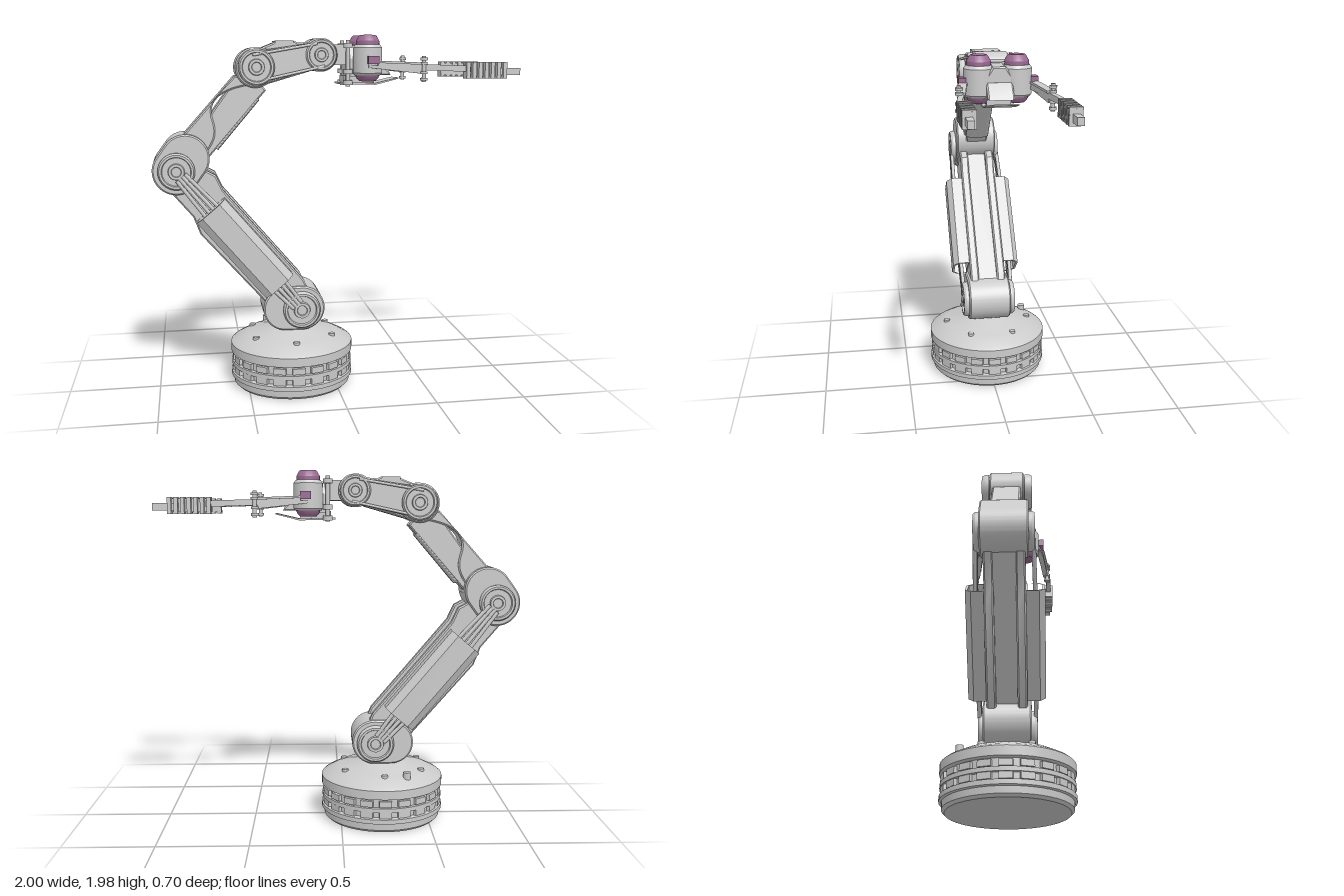
import * as THREE from 'three';
import { toCreasedNormals } from 'three/addons/utils/BufferGeometryUtils.js';

const grey = new THREE.MeshStandardMaterial({ color: 0xcccccc });
const thin = new THREE.MeshStandardMaterial({ color: 0xcccccc, side: THREE.DoubleSide });
const purple = new THREE.MeshStandardMaterial({ color: 0x9a6a92 });

function add(parent, name, geo, pos = [0, 0, 0], mat = grey) {
  const m = new THREE.Mesh(geo, mat);
  m.name = name;
  m.position.set(...pos);
  parent.add(m);
  return m;
}
const box = (p, name, size, pos, mat) => add(p, name, new THREE.BoxGeometry(...size), pos, mat);

function lathe(parent, name, pts, pos, mat) {
  const geo = new THREE.LatheGeometry(pts.map(([r, y]) => new THREE.Vector2(r, y)), 48);
  return add(parent, name, toCreasedNormals(geo, 0.5), pos, mat);
}

// Extrude a shape between z0 and z1 with a small bevel kept inside the outline
function slab(parent, name, shape, z0, z1, bevel = 0.008) {
  const geo = new THREE.ExtrudeGeometry(shape, {
    depth: z1 - z0 - 2 * bevel, curveSegments: 24, bevelEnabled: bevel > 0,
    bevelSize: bevel, bevelThickness: bevel, bevelOffset: -bevel, bevelSegments: 1
  });
  return add(parent, name, toCreasedNormals(geo, 0.45), [0, 0, z0 + bevel]);
}
const poly = pts => new THREE.Shape(pts.map(([x, y]) => new THREE.Vector2(x, y)));

// Outline wrapped around two circles
function hull(x1, y1, r1, x2, y2, r2) {
  const a = Math.atan2(y2 - y1, x2 - x1);
  const o = Math.acos((r1 - r2) / Math.hypot(x2 - x1, y2 - y1));
  const s = new THREE.Shape();
  s.absarc(x1, y1, r1, a + o, a - o + Math.PI * 2, false);
  s.absarc(x2, y2, r2, a - o, a + o, false);
  return s;
}

function rod(parent, name, a, b, r, sides = 10) {
  const A = new THREE.Vector3(...a), B = new THREE.Vector3(...b);
  const m = add(parent, name, new THREE.CylinderGeometry(r, r, A.distanceTo(B), sides));
  m.position.copy(A).add(B).multiplyScalar(0.5);
  m.quaternion.setFromUnitVectors(new THREE.Vector3(0, 1, 0), B.sub(A).normalize());
  return m;
}

// Stepped round cap facing outward on side s of a joint
function jointCap(parent, name, x, y, r, z, h, s) {
  const m = lathe(parent, name, [
    [r, 0], [r, h * 0.6], [r * 0.92, h], [r * 0.8, h], [r * 0.76, h * 0.6], [r * 0.45, h * 0.6],
    [r * 0.42, h], [r * 0.28, h], [r * 0.25, h * 0.75], [0, h * 0.75]
  ], [x, y, s * z]);
  m.rotation.x = s * Math.PI / 2;
}

function buildBase(g) {
  const base = new THREE.Group();
  base.name = 'base';
  base.position.x = -0.24;
  g.add(base);
  lathe(base, 'baseBody', [
    [0, 0.005], [0.32, 0.005], [0.335, 0.02], [0.337, 0.055], [0.35, 0.06], [0.35, 0.085], [0.325, 0.09],
    [0.325, 0.195], [0.35, 0.2], [0.35, 0.25], [0.335, 0.262], [0.27, 0.295], [0.255, 0.3],
    [0.13, 0.332], [0.11, 0.342], [0, 0.342]
  ]);
  lathe(base, 'baseRib', [[0.32, 0.125], [0.347, 0.125], [0.347, 0.148], [0.32, 0.148]]);
  for (let i = 0; i < 20; i++) {
    const a = i / 20 * Math.PI * 2;
    for (const y of [0.107, 0.17]) {
      const b = box(base, 'baseBlock', [0.025, 0.034, 0.07], [Math.cos(a) * 0.329, y, -Math.sin(a) * 0.329]);
      b.rotation.y = a;
    }
  }
  for (let i = 0; i < 6; i++) {
    const a = Math.PI / 2 + i * Math.PI / 3;
    add(base, 'baseBolt', new THREE.CylinderGeometry(0.018, 0.018, 0.03, 12),
      [Math.cos(a) * 0.25, 0.297, Math.sin(a) * 0.25]);
  }
  add(base, 'basePeg', new THREE.CylinderGeometry(0.021, 0.021, 0.05, 16), [-0.125, 0.3, -0.24]);
}

function buildLowerArm(g) {
  slab(g, 'shoulder', hull(-0.285, 0.465, 0.125, -0.19, 0.465, 0.127), -0.125, 0.125);
  slab(g, 'elbow', hull(-0.87, 1.262, 0.13, -0.82, 1.33, 0.13), -0.122, 0.122);
  // Local x runs from shoulder to elbow
  const arm = new THREE.Group();
  arm.name = 'lowerArm';
  arm.position.set(-0.195, 0.46, 0);
  arm.rotation.z = Math.atan2(0.8, -0.675);
  g.add(arm);
  box(arm, 'armCore', [0.9, 0.19, 0.12], [0.52, 0, 0]);
  const plate = poly([[0.05, -0.1], [0.12, -0.12], [0.8, -0.12], [0.89, -0.145], [1.0, -0.1],
    [1.0, 0.1], [0.8, 0.1], [0.7, 0.135], [0.12, 0.125], [0.05, 0.1]]);
  for (const s of [-1, 1]) {
    slab(arm, 'armSidePlate', plate, s > 0 ? 0.055 : -0.105, s > 0 ? 0.105 : -0.055);
    // Hollow chamfered side cover
    const sec = poly([[0.1, -0.1], [0.17, -0.1], [0.2, -0.06], [0.2, 0.06], [0.17, 0.1], [0.1, 0.1]]
      .map(([z, v]) => [-s * z, v]));
    sec.holes.push(new THREE.Path([[0.112, -0.088], [0.163, -0.088], [0.187, -0.055], [0.187, 0.055],
      [0.163, 0.088], [0.112, 0.088]].map(([z, v]) => new THREE.Vector2(-s * z, v))));
    const cover = slab(arm, 'sideCover', sec, 0.2, 0.77, 0);
    cover.rotation.y = Math.PI / 2;
    cover.position.set(0.2, 0, 0);
    // Bundled rods at each end of the cover
    for (let i = 0; i < 4; i++) {
      const v = (i - 1.5) * 0.027;
      rod(arm, 'tendon', [0.04, v * 0.7, s * 0.145], [0.3, v * 1.2, s * 0.152], 0.011);
      rod(arm, 'tendon', [0.68, v * 1.2, s * 0.152], [1.01, v * 0.7, s * 0.145], 0.011);
    }
    jointCap(g, 'shoulderCap', -0.195, 0.46, 0.105, 0.12, 0.035, s);
    jointCap(g, 'elbowCap', -0.87, 1.262, 0.1, 0.117, 0.035, s);
  }
}

function buildUpperArm(g) {
  const core = poly([[-0.8, 1.4], [-0.55, 1.74], [-0.4, 1.72], [-0.375, 1.69], [-0.69, 1.33]]);
  slab(g, 'upperArmCore', core, -0.066, 0.066);
  // Outer shell with a curved lower cut-out
  const shell = new THREE.Shape();
  shell.moveTo(-0.84, 1.44);
  shell.lineTo(-0.545, 1.77);
  shell.lineTo(-0.42, 1.75);
  shell.lineTo(-0.46, 1.72);
  shell.bezierCurveTo(-0.58, 1.7, -0.69, 1.66, -0.67, 1.55);
  shell.bezierCurveTo(-0.65, 1.48, -0.64, 1.44, -0.71, 1.35);
  slab(g, 'upperArmShell', shell, -0.078, 0.078);
  const pad = rod(g, 'undersidePad', [-0.65, 1.375, 0], [-0.42, 1.645, 0], 0.07, 20);
  pad.scale.x = 0.22;

  // Wrist link
  slab(g, 'rearWrist', hull(-0.435, 1.812, 0.108, -0.42, 1.816, 0.106), -0.096, 0.096);
  slab(g, 'frontWrist', hull(-0.085, 1.88, 0.09, -0.075, 1.88, 0.09), -0.095, 0.095);
  slab(g, 'wristBridge', poly([[-0.42, 1.91], [-0.32, 1.95], [-0.22, 1.955], [-0.2, 1.945], [-0.08, 1.955],
    [-0.06, 1.82], [-0.14, 1.79], [-0.38, 1.72]]), -0.075, 0.075);
  box(g, 'bridgeRidge', [0.1, 0.02, 0.16], [-0.275, 1.945, 0]);
  for (const s of [-1, 1]) {
    const strap = hull(-0.43, 1.815, 0.085, -0.077, 1.88, 0.07);
    slab(g, 'wristStrap', strap, s > 0 ? 0.09 : -0.108, s > 0 ? 0.108 : -0.09, 0.004);
    jointCap(g, 'rearWristCap', -0.43, 1.815, 0.098, 0.1, 0.04, s);
    jointCap(g, 'frontWristCap', -0.077, 1.88, 0.085, 0.1, 0.027, s);
    rod(g, 'wristRod', [-0.45, 1.88, s * 0.13], [-0.1, 1.94, s * 0.118], 0.008);
    rod(g, 'wristRod', [-0.38, 1.75, s * 0.13], [-0.06, 1.82, s * 0.118], 0.008);
  }
}

function buildHand(g) {
  box(g, 'handMount', [0.1, 0.11, 0.13], [0.04, 1.88, 0]);
  // Palm block, tapered towards the top
  const palm = slab(g, 'palm', poly([[-0.08, 1.76], [0.08, 1.76], [0.08, 1.86], [0.035, 1.93],
    [-0.035, 1.93], [-0.08, 1.86]]), 0, 0.18);
  palm.rotation.y = Math.PI / 2;
  palm.position.set(0.075, 0, 0);
  slab(g, 'palmWedge', poly([[0.2, 1.77], [0.32, 1.77], [0.31, 1.79], [0.25, 1.85], [0.2, 1.85]]), -0.07, 0.07);
  slab(g, 'palmPlate', poly([[0.03, 1.722], [0.23, 1.717], [0.36, 1.75], [0.36, 1.757], [0.23, 1.727],
    [0.03, 1.732]]), -0.085, 0.085, 0);
  box(g, 'palmUnderside', [0.17, 0.04, 0.13], [0.14, 1.748, 0]);

  for (const s of [-1, 1]) {
    rod(g, 'handPin', [0.073, 1.71, s * 0.09], [0.073, 1.96, s * 0.09], 0.012);
    for (const y of [1.73, 1.79, 1.93]) {
      add(g, 'pinCollar', new THREE.CylinderGeometry(0.026, 0.026, 0.025, 16), [0.073, y, s * 0.09]);
    }
    // Finger motors with coloured ends
    const at = [0.18, 0, s * 0.1];
    lathe(g, 'motor', [[0, 1.77], [0.07, 1.77], [0.08, 1.782], [0.08, 1.918], [0.068, 1.935], [0, 1.935]], at);
    lathe(g, 'motorTop', [[0.064, 1.93], [0.064, 1.955], [0.05, 1.98], [0.042, 1.987], [0, 1.987]], at, purple);
    lathe(g, 'motorBottom', [[0, 1.738], [0.045, 1.738], [0.062, 1.758], [0.066, 1.775]], at, purple);
    box(g, 'motorSideBlock', [0.06, 0.042, 0.04], [0.193, 1.853, s * 0.19], purple);
    buildFinger(g, s);
  }
}

function buildFinger(g, s) {
  const f = new THREE.Group();
  f.name = 'finger';
  g.add(f);
  // Bar following a path seen from above, of given height
  const bar = (name, pts, w, h, y, tilt) => {
    const sh = poly([...pts.map(([x, z]) => [x, -s * (z + w / 2)]), ...pts.slice().reverse().map(([x, z]) => [x, -s * (z - w / 2)])]);
    const geo = new THREE.ExtrudeGeometry(sh, { depth: h, bevelEnabled: false });
    geo.rotateX(-Math.PI / 2);
    const p = geo.attributes.position;
    for (let i = 0; i < p.count; i++) p.setY(i, p.getY(i) + y - h / 2 + (p.getX(i) - pts[0][0]) * tilt);
    geo.computeVertexNormals();
    add(f, name, geo, [0, 0, 0], thin);
  };
  const inner = [[0.17, 0.17], [0.26, 0.195], [0.47, 0.225]];
  bar('upperLinkage', inner, 0.045, 0.012, 1.845, -0.04);
  bar('lowerLinkage', inner, 0.03, 0.018, 1.82, -0.11);
  bar('fingerBar', [[0.22, 0.185], [0.45, 0.22], [0.58, 0.245], [0.72, 0.245]], 0.028, 0.032, 1.823, -0.035);
  rod(f, 'fingerPin', [0.463, 1.735, s * 0.235], [0.463, 1.875, s * 0.235], 0.011);
  for (const y of [1.75, 1.785, 1.835, 1.858]) {
    add(f, 'pinNut', new THREE.CylinderGeometry(0.02, 0.02, 0.014, 12), [0.463, y, s * 0.235]);
  }
  // Ribbed grip and tip
  box(f, 'gripPad', [0.23, 0.07, 0.035], [0.805, 1.798, s * 0.228]);
  for (let i = 0; i < 7; i++) {
    box(f, 'gripRib', [0.021, 0.088, 0.066], [0.702 + i * 0.0345, 1.797, s * 0.241]);
  }
  box(f, 'fingerTip', [0.12, 0.038, 0.034], [0.94, 1.79, s * 0.243]);
}

export function createModel() {
  const g = new THREE.Group();
  g.name = 'robotArm';
  buildBase(g);
  buildLowerArm(g);
  buildUpperArm(g);
  buildHand(g);
  return g;
}
